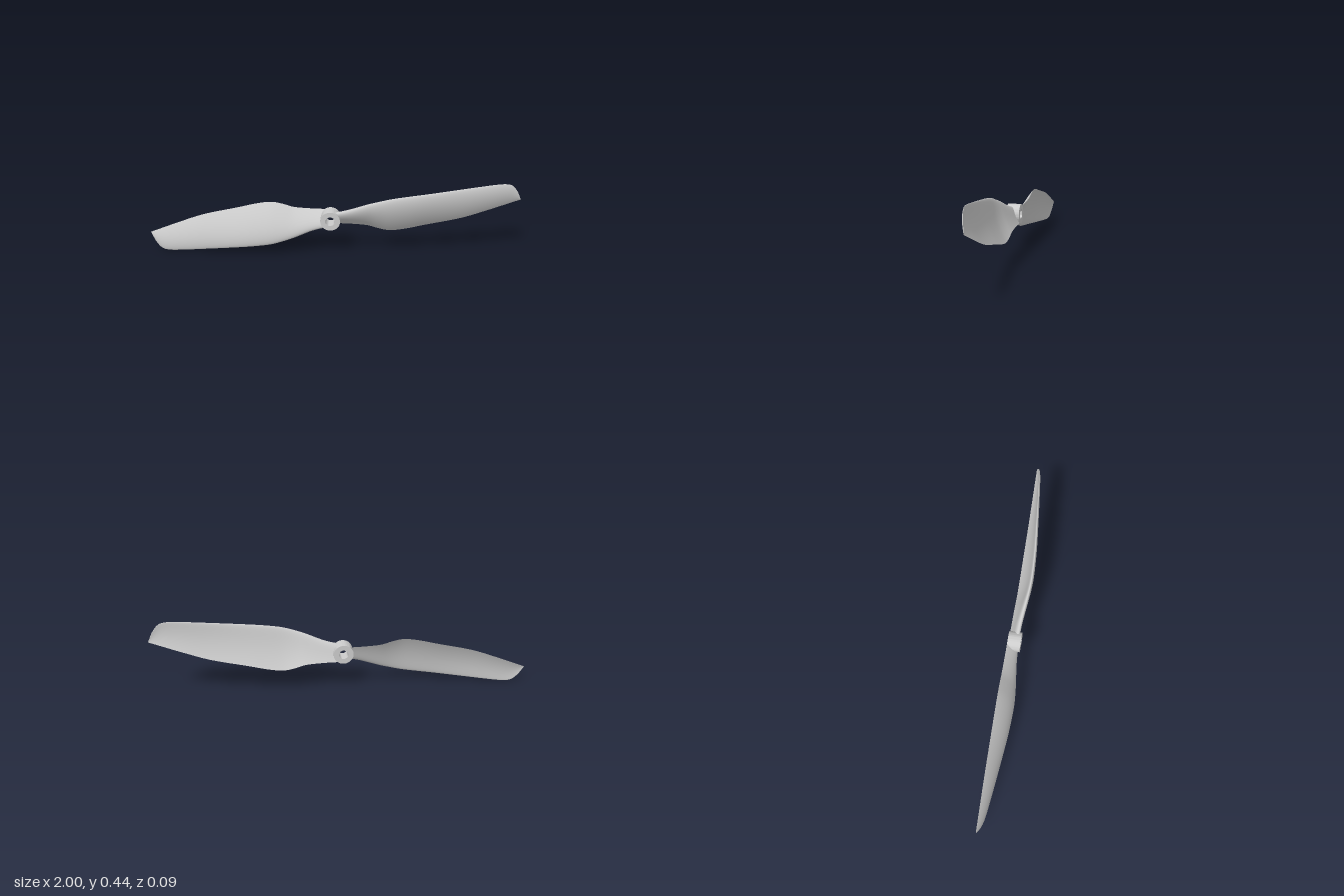
import * as THREE from 'three';
import { toCreasedNormals } from 'three/addons/utils/BufferGeometryUtils.js';

const AXIS_Y = 0.22;      // height of the spin axis
const TRAIL_Z = -0.045;   // the trailing edge lies in one plane

// Blade stations: [x, leading edge y, leading edge z, trailing edge y, thickness]
const STATIONS = [
  [0.027, 0.044, 0.004, -0.042, 0.03],
  [0.10, 0.065, 0.008, -0.043, 0.03],
  [0.20, 0.105, 0.021, -0.05, 0.028],
  [0.26, 0.125, 0.028, -0.067, 0.026],
  [0.32, 0.142, 0.031, -0.077, 0.025],
  [0.40, 0.156, 0.029, -0.066, 0.024],
  [0.50, 0.17, 0.023, -0.041, 0.022],
  [0.70, 0.197, 0.003, 0.008, 0.016],
  [0.85, 0.216, -0.013, 0.063, 0.011],
  [0.91, 0.219, -0.02, 0.087, 0.008],
  [0.945, 0.209, -0.026, 0.101, 0.006],
  [0.975, 0.175, -0.034, 0.113, 0.004],
  [1.0, 0.125, -0.044, 0.123, 0.001],
];

// Smooth (cubic Hermite) interpolation of one station column
function sample(x, col) {
  const S = STATIONS, n = S.length;
  let i = 0;
  while (i < n - 2 && x > S[i + 1][0]) i++;
  const slope = (k) => {
    const a = S[Math.max(k - 1, 0)], b = S[Math.min(k + 1, n - 1)];
    return (b[col] - a[col]) / (b[0] - a[0]);
  };
  const h = S[i + 1][0] - S[i][0], t = (x - S[i][0]) / h, t2 = t * t, t3 = t2 * t;
  return (2 * t3 - 3 * t2 + 1) * S[i][col] + (t3 - 2 * t2 + t) * h * slope(i)
    + (3 * t2 - 2 * t3) * S[i + 1][col] + (t3 - t2) * h * slope(i + 1);
}

// Cambered, twisted airfoil sections lofted along x
function bladeGeometry(rows = 90, half = 24) {
  const pos = [], idx = [], cols = 2 * half + 1;
  for (let i = 0; i <= rows; i++) {
    // stations gather towards the tip
    const x = 0.027 + 0.973 * Math.sin((i / rows) * Math.PI / 2);
    const [leadY, leadZ, trailY, thick] = [1, 2, 3, 4].map((c) => sample(x, c));
    const chord = leadY - trailY;
    for (let j = 0; j < cols; j++) {
      // trailing edge -> front face -> nose -> back face -> trailing edge
      const s = (1 + Math.cos((j / half) * Math.PI)) / 2;
      const side = j <= half ? 1 : -1;
      const body = 5 * thick * (0.2969 * Math.sqrt(s) - 0.126 * s - 0.3516 * s * s
        + 0.2843 * s ** 3 - 0.1036 * s ** 4);
      const camber = 0.083 * chord * 4 * s * (1 - s);
      pos.push(x, leadY - s * chord, leadZ + s * (TRAIL_Z - leadZ) + camber + side * body);
      if (i < rows && j < cols - 1) {
        const a = i * cols + j, b = a + cols;
        idx.push(a, b, a + 1, b, b + 1, a + 1);
      }
    }
  }
  const g = new THREE.BufferGeometry();
  g.setAttribute('position', new THREE.Float32BufferAttribute(pos, 3));
  g.setIndex(idx);
  g.computeVertexNormals();
  return g;
}

// Ring with a shaft bore, axis along z
function hubGeometry(outer, bore, back, front) {
  const profile = [[bore, back], [outer, back], [outer, front], [bore, front], [bore, back]]
    .map(([r, y]) => new THREE.Vector2(r, y));
  const g = new THREE.LatheGeometry(profile, 64).rotateX(Math.PI / 2);
  return toCreasedNormals(g, 0.6);
}

export function createModel() {
  const model = new THREE.Group();
  model.name = 'propeller';
  const material = new THREE.MeshStandardMaterial({ color: 0xcccccc, side: THREE.DoubleSide });

  const hub = new THREE.Mesh(hubGeometry(0.053, 0.025, -0.045, 0.025), material);
  hub.name = 'hub';
  model.add(hub);

  // Two identical blades, half a turn apart
  const blade = bladeGeometry();
  ['leftBlade', 'rightBlade'].forEach((name, k) => {
    const mesh = new THREE.Mesh(blade, material);
    mesh.name = name;
    mesh.rotation.z = k * Math.PI;
    model.add(mesh);
  });

  model.children.forEach((part) => { part.position.y = AXIS_Y; });
  return model;
}
